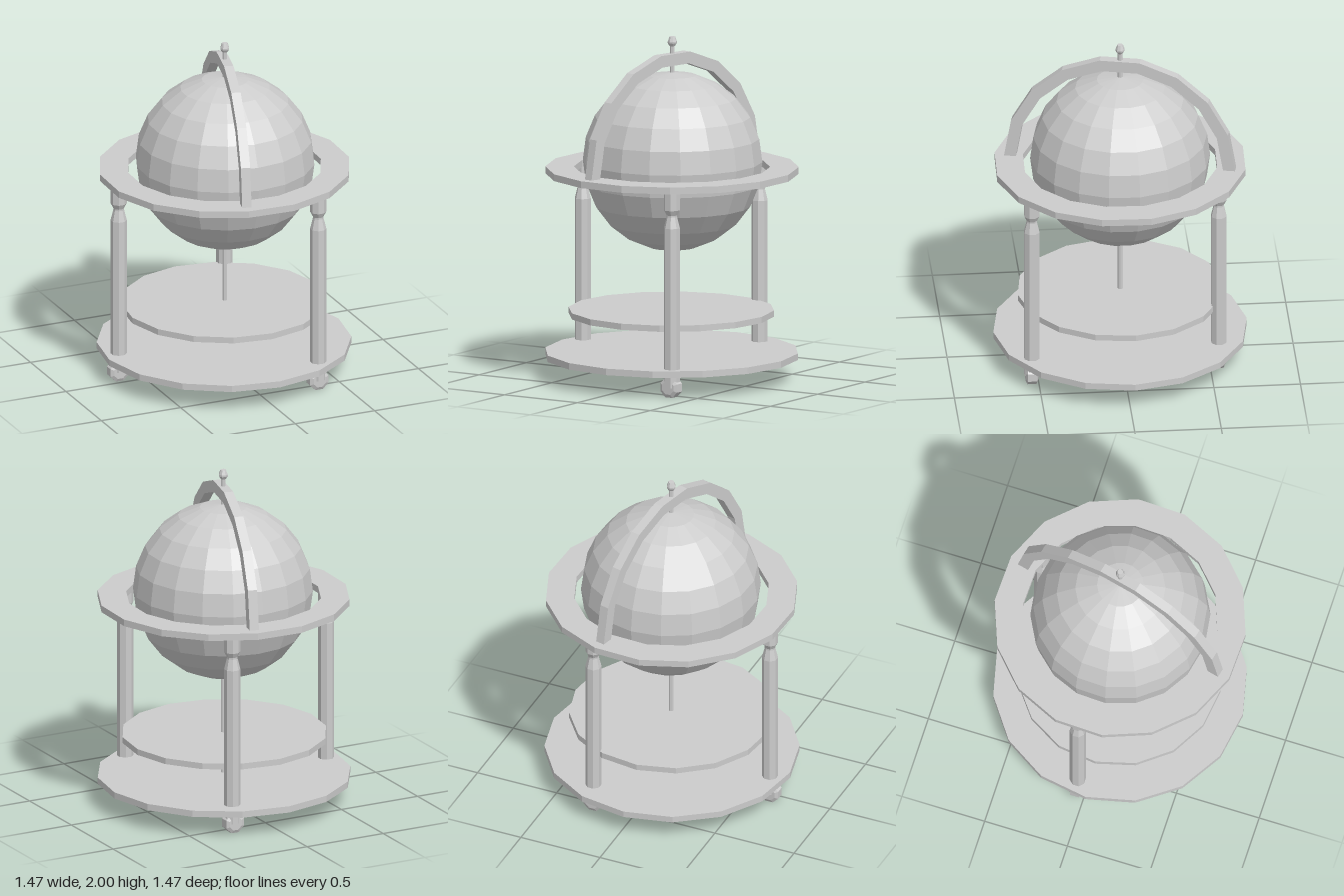
import * as THREE from 'three';

const material = new THREE.MeshStandardMaterial({ color: 0xcccccc, flatShading: true });
const rad = THREE.MathUtils.degToRad;

function add(parent, name, geometry, x = 0, y = 0, z = 0, turn = 0) {
  const mesh = new THREE.Mesh(geometry, material);
  mesh.name = name;
  mesh.position.set(x, y, z);
  mesh.rotation.y = rad(turn);
  parent.add(mesh);
  return mesh;
}

// Turned solid from [radius, height] pairs, listed bottom to top
function turned(points, sides) {
  return new THREE.LatheGeometry(points.map(([r, y]) => new THREE.Vector2(r, y)), sides);
}

// Half hoop with square section, standing on its two ends
function halfHoop(outer, inner, width, segments) {
  const at = (r, i) => {
    const a = (Math.PI * i) / segments;
    return new THREE.Vector2(r * Math.cos(a), r * Math.sin(a));
  };
  const points = [];
  for (let i = 0; i <= segments; i++) points.push(at(outer, i));
  for (let i = segments; i >= 0; i--) points.push(at(inner, i));
  const geometry = new THREE.ExtrudeGeometry(new THREE.Shape(points), { depth: width, bevelEnabled: false });
  return geometry.translate(0, 0, -width / 2);
}

function makeLeg() {
  const leg = new THREE.Group();
  // Turned post with a narrow neck under the top block
  add(leg, 'post', turned([
    [0, 0.06], [0.047, 0.06], [0.047, 0.99], [0.031, 1.055],
    [0.031, 1.065], [0.047, 1.095], [0.047, 1.205], [0, 1.205],
  ], 8), 0, 0, 0, 22.5);
  // Caster wheel with bevelled rims, axle along z
  const wheel = turned([
    [0, -0.036], [0.042, -0.036], [0.062, -0.026],
    [0.062, 0.026], [0.042, 0.036], [0, 0.036],
  ], 8);
  wheel.rotateY(rad(22.5)).rotateX(Math.PI / 2);
  add(leg, 'casterWheel', wheel, -0.005, 0.06, 0);
  return leg;
}

export function createModel() {
  const model = new THREE.Group();
  model.name = 'floorGlobe';

  // Globe and its axis
  add(model, 'globe', new THREE.SphereGeometry(0.519, 18, 12), 0.004, 1.274, 0, 8);
  add(model, 'axisRod', new THREE.CylinderGeometry(0.014, 0.014, 1.8, 8), 0.002, 1.06, 0);
  add(model, 'finial', turned([
    [0, 1.945], [0.016, 1.945], [0.027, 1.962], [0.027, 1.972], [0.017, 2], [0, 2],
  ], 8), 0.002, 0, 0);

  // Flat horizon ring around the globe
  add(model, 'horizonRing', turned([
    [0.73, 1.2], [0.73, 1.24], [0.565, 1.24], [0.565, 1.2], [0.73, 1.2],
  ], 16), 0, 0, 0, 9.5);

  // Arch over the globe
  add(model, 'meridianArch', halfHoop(0.672, 0.603, 0.055, 9), 0.003, 1.24, 0, 76.8);

  // Shelves
  add(model, 'upperShelf', new THREE.CylinderGeometry(0.595, 0.595, 0.036, 16), -0.005, 0.392, 0, 4);
  add(model, 'lowerShelf', new THREE.CylinderGeometry(0.735, 0.735, 0.038, 16), -0.003, 0.147, 0, 2);

  // Three legs on casters
  [[-0.645, -0.05], [0.35, 0.54], [0.245, -0.55]].forEach(([x, z], i) => {
    const leg = makeLeg();
    leg.name = `leg${i + 1}`;
    leg.position.set(x, 0, z);
    model.add(leg);
  });

  return model;
}
